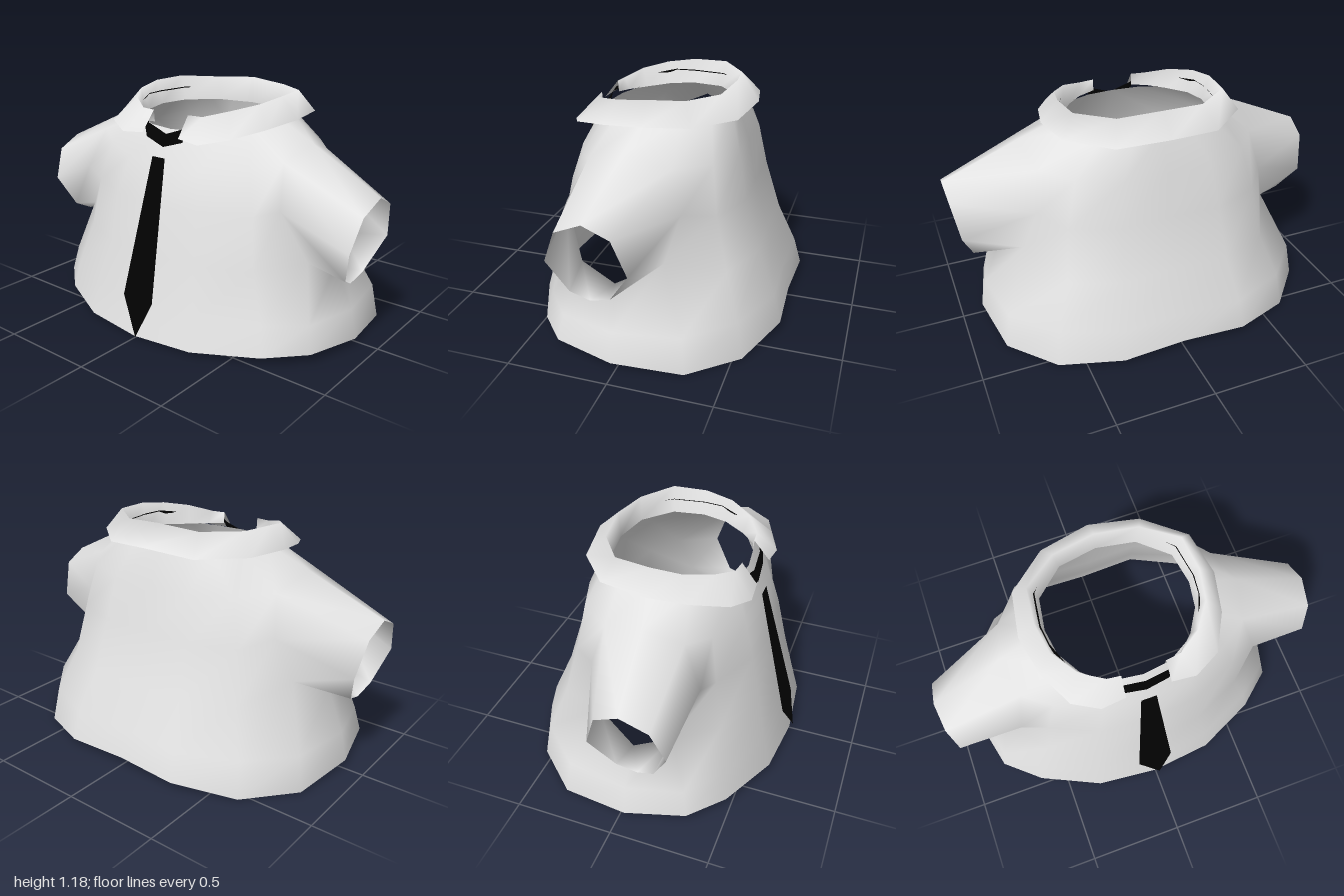
import * as THREE from 'three';
import { mergeVertices } from 'three/addons/utils/BufferGeometryUtils.js';

const cloth = new THREE.MeshStandardMaterial({ color: 0xe3e3e3, side: THREE.DoubleSide });
cloth.name = 'white cloth';
const black = new THREE.MeshStandardMaterial({ color: 0x020202, side: THREE.DoubleSide });
black.name = 'black cloth';

function makeMesh(name, points, index, material) {
  let g = new THREE.BufferGeometry();
  g.setAttribute('position', new THREE.Float32BufferAttribute(points.flat(), 3));
  g.setIndex(index);
  g = mergeVertices(g, 1e-4);
  g.computeVertexNormals();
  const mesh = new THREE.Mesh(g, material);
  mesh.name = name;
  return mesh;
}

const mirror = ([x, y, z]) => [-x, y, z];

// Strip from half rows (front to back on +x), mirrored to -x
function wrapStrip(name, halfRows, material) {
  const rows = halfRows.map(h => [...h, ...h.slice(0, -1).reverse().map(mirror)]);
  const n = rows[0].length, index = [];
  for (let r = 0; r < rows.length - 1; r++) {
    for (let c = 0; c < n - 1; c++) {
      const a = r * n + c, d = a + n;
      index.push(a, a + 1, d + 1, a, d + 1, d);
    }
  }
  return makeMesh(name, rows.flat(), index, material);
}

// Torso rings with an armhole each side, each lofted out to an eight-sided cuff
function makeShirt() {
  const ux = [0, 0.37, 0.72, 0.92, 1, 0.94, 0.71, 0.37, 0];
  const uz = [1, 0.95, 0.73, 0.5, 0.04, -0.47, -0.81, -1, -0.98];
  const hem = [0.01, 0.02, 0.035, 0.05, 0.03, 0.003, 0, 0.035, 0.04];
  // front y, side y, back y, half width, front depth, back depth
  const rings = [
    [0, 0, 0, 0.89, 0.65, 0.67],
    [0.18, 0.18, 0.18, 0.86, 0.605, 0.63],
    [0.42, 0.385, 0.40, 0.75, 0.55, 0.535],
    [0.66, 0.68, 0.66, 0.70, 0.495, 0.455],
    [0.84, 0.97, 0.88, 0.62, 0.435, 0.41],
    [1.01, 1.075, 1.07, 0.385, 0.355, 0.34],
  ];
  const N = 16, points = [], index = [];
  rings.forEach(([yf, ys, yb, w, df, db], r) => {
    for (let c = 0; c < N; c++) {
      const k = c <= 8 ? c : N - c, v = uz[k];
      points.push([
        (c <= 8 ? 1 : -1) * ux[k] * w,
        r === 0 ? hem[k] : ys + ((v > 0 ? yf : yb) - ys) * Math.abs(v),
        v * (v > 0 ? df : db),
      ]);
    }
  });
  const id = (r, c) => r * N + (c + N) % N;
  for (let r = 0; r < rings.length - 1; r++) {
    for (let c = 0; c < N; c++) {
      const inHole = (r === 2 || r === 3) && [3, 4, 11, 12].includes(c);
      if (inHole) continue;
      index.push(id(r, c), id(r, c + 1), id(r + 1, c + 1));
      index.push(id(r, c), id(r + 1, c + 1), id(r + 1, c));
    }
  }
  // Sleeves: ring and column of each armhole corner, its position, and the cuff corner
  const hole = [[2, 3], [2, 4], [2, 5], [3, 5], [4, 5], [4, 4], [4, 3], [3, 3]];
  const root = [
    [0.72, 0.45, 0.22], [0.765, 0.385, 0.04], [0.68, 0.48, -0.17], [0.61, 0.70, -0.23],
    [0.57, 0.90, -0.17], [0.62, 0.97, 0.04], [0.58, 0.91, 0.23], [0.63, 0.71, 0.325],
  ];
  const cuff = [
    [0.91, 0.40, 0.20], [0.89, 0.355, 0.11], [0.90, 0.385, 0.01], [0.96, 0.55, -0.10],
    [0.99, 0.73, -0.04], [1, 0.79, 0.085], [0.99, 0.73, 0.22], [0.965, 0.57, 0.285],
  ];
  for (const s of [1, -1]) {
    const base = points.length;
    const place = s > 0 ? p => p : mirror;
    points.push(...cuff.map(place));
    hole.forEach(([r, c], i) => { points[id(r, s * c)] = place(root[i]); });
    for (let i = 0; i < 8; i++) {
      const j = (i + 1) % 8;
      const p = id(hole[i][0], s * hole[i][1]), p2 = id(hole[j][0], s * hole[j][1]);
      const q = base + i, q2 = base + j;
      if (s > 0) index.push(p, p2, q2, p, q2, q);
      else index.push(p, q2, p2, p, q, q2);
    }
  }
  return makeMesh('shirtBody', points, index, cloth);
}

export function createModel() {
  const model = new THREE.Group();
  model.name = 'shirtWithTie';
  model.add(makeShirt());

  // Folded collar: outer edge, fold, inner edge
  model.add(wrapStrip('collar', [
    [[0.115, 0.99, 0.43], [0.24, 0.98, 0.44], [0.37, 1.01, 0.375], [0.46, 1.04, 0.2],
      [0.5, 1.06, 0], [0.46, 1.065, -0.23], [0.26, 1.06, -0.4], [0, 1.08, -0.445]],
    [[0.11, 1.09, 0.35], [0.19, 1.09, 0.34], [0.30, 1.12, 0.27], [0.385, 1.145, 0.15],
      [0.41, 1.165, 0], [0.39, 1.17, -0.18], [0.22, 1.165, -0.305], [0, 1.18, -0.335]],
    [[0.11, 1.03, 0.345], [0.2, 1.02, 0.32], [0.28, 1.02, 0.245], [0.35, 1.03, 0.13],
      [0.37, 1.04, 0], [0.345, 1.04, -0.165], [0.2, 1.04, -0.295], [0, 1.04, -0.33]],
  ], cloth));

  // Tie band running round under the collar, dipping to a V at the front
  model.add(wrapStrip('tieBand', [
    [[0, 0.93, 0.41], [0.115, 0.965, 0.4], [0.135, 1.02, 0.39], [0.3, 1.045, 0.3],
      [0.4, 1.075, 0.1], [0.41, 1.08, 0], [0.39, 1.08, -0.18], [0.23, 1.075, -0.33], [0, 1.075, -0.365]],
    [[0, 0.99, 0.385], [0.115, 1.03, 0.38], [0.135, 1.05, 0.37], [0.3, 1.075, 0.28],
      [0.372, 1.11, 0.1], [0.383, 1.11, 0], [0.36, 1.11, -0.17], [0.225, 1.11, -0.325], [0, 1.11, -0.355]],
  ], black));

  // Hanging tie blade
  model.add(makeMesh('tieBlade', [
    [-0.04, 0.885, 0.443], [0.04, 0.885, 0.443],
    [-0.095, 0.2, 0.618], [0.095, 0.2, 0.618],
    [0.02, 0.015, 0.665],
  ], [2, 3, 1, 2, 1, 0, 2, 4, 3], black));

  return model;
}
